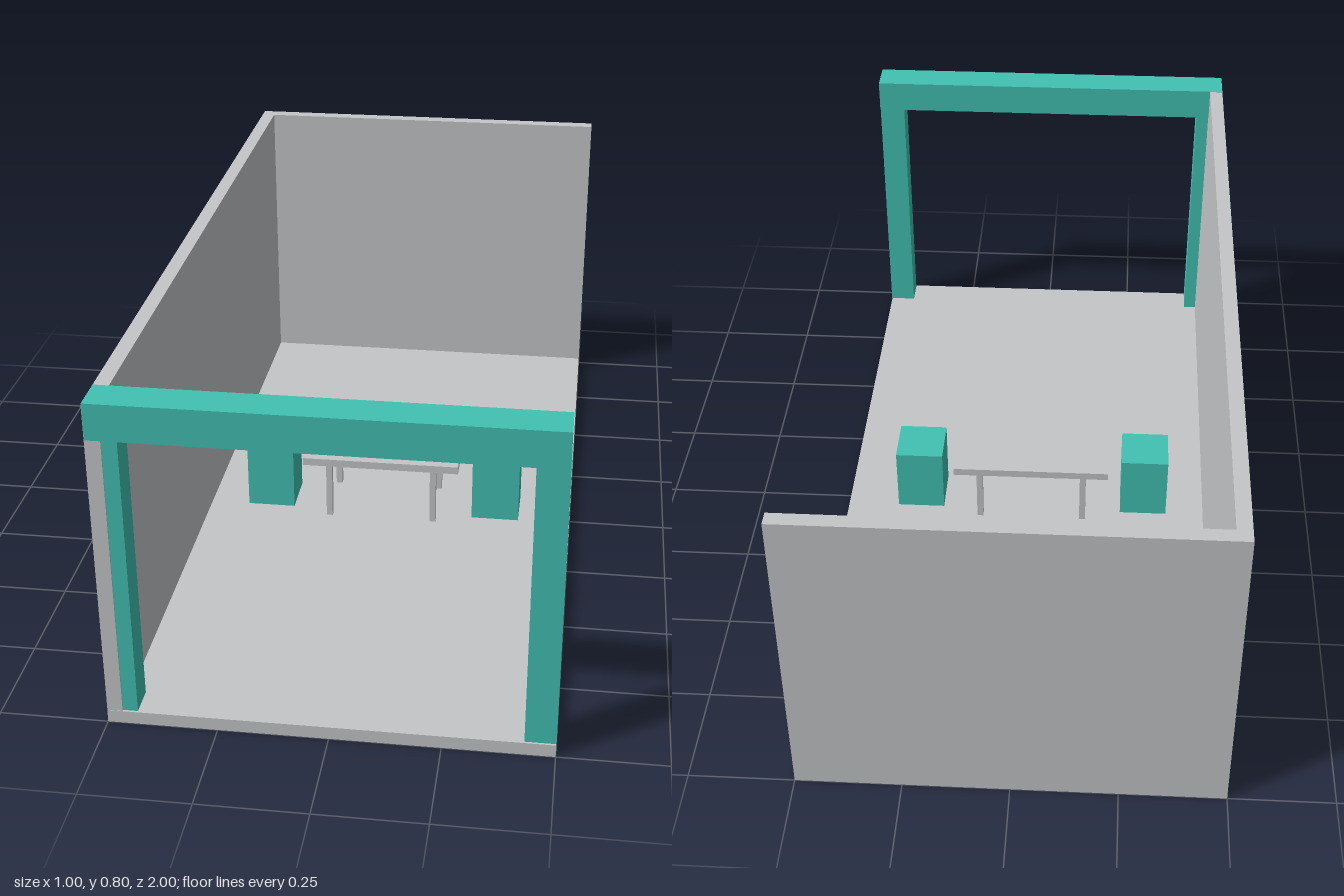
import * as THREE from 'three';

export function createModel() {
  const group = new THREE.Group();
  const grey = new THREE.MeshStandardMaterial({ color: 0xc3c6c8 });
  grey.name = 'light grey';
  const teal = new THREE.MeshStandardMaterial({ color: 0x42c1b3 });
  teal.name = 'teal';

  // Box given by its extents on each axis
  function box(name, material, [x0, x1], [y0, y1], [z0, z1], parent = group) {
    const mesh = new THREE.Mesh(new THREE.BoxGeometry(x1 - x0, y1 - y0, z1 - z0), material);
    mesh.position.set((x0 + x1) / 2, (y0 + y1) / 2, (z0 + z1) / 2);
    mesh.name = name;
    parent.add(mesh);
  }

  // Booth shell; the wall tops sit a hair under the beam so no faces coincide
  box('floor', grey, [-0.5, 0.5], [0, 0.031], [-1, 1]);
  box('sideWall', grey, [-0.5, -0.465], [0.031, 0.799], [-1, 0.999]);
  box('backWall', grey, [-0.465, 0.5], [0.031, 0.799], [-1, -0.965]);

  // Front gateway
  box('gateBeam', teal, [-0.499, 0.5], [0.715, 0.8], [0.912, 1]);
  box('leftPost', teal, [0.431, 0.501], [0.001, 0.715], [0.925, 0.995]);
  box('rightPost', teal, [-0.499, -0.431], [0.001, 0.715], [0.925, 0.995]);

  // Table
  const table = new THREE.Group();
  table.name = 'table';
  group.add(table);
  box('tableTop', grey, [-0.205, 0.205], [0.188, 0.208], [-0.114, 0.112], table);
  for (const x of [-0.138, 0.138]) {
    for (const z of [-0.088, 0.088]) {
      box('tableLeg', grey, [x - 0.008, x + 0.008], [0.031, 0.188], [z - 0.008, z + 0.008], table);
    }
  }

  // Stools at both ends of the table
  for (const x of [-0.302, 0.302]) {
    box('stool', teal, [x - 0.062, x + 0.062], [0.031, 0.206], [-0.063, 0.062]);
  }
  return group;
}
